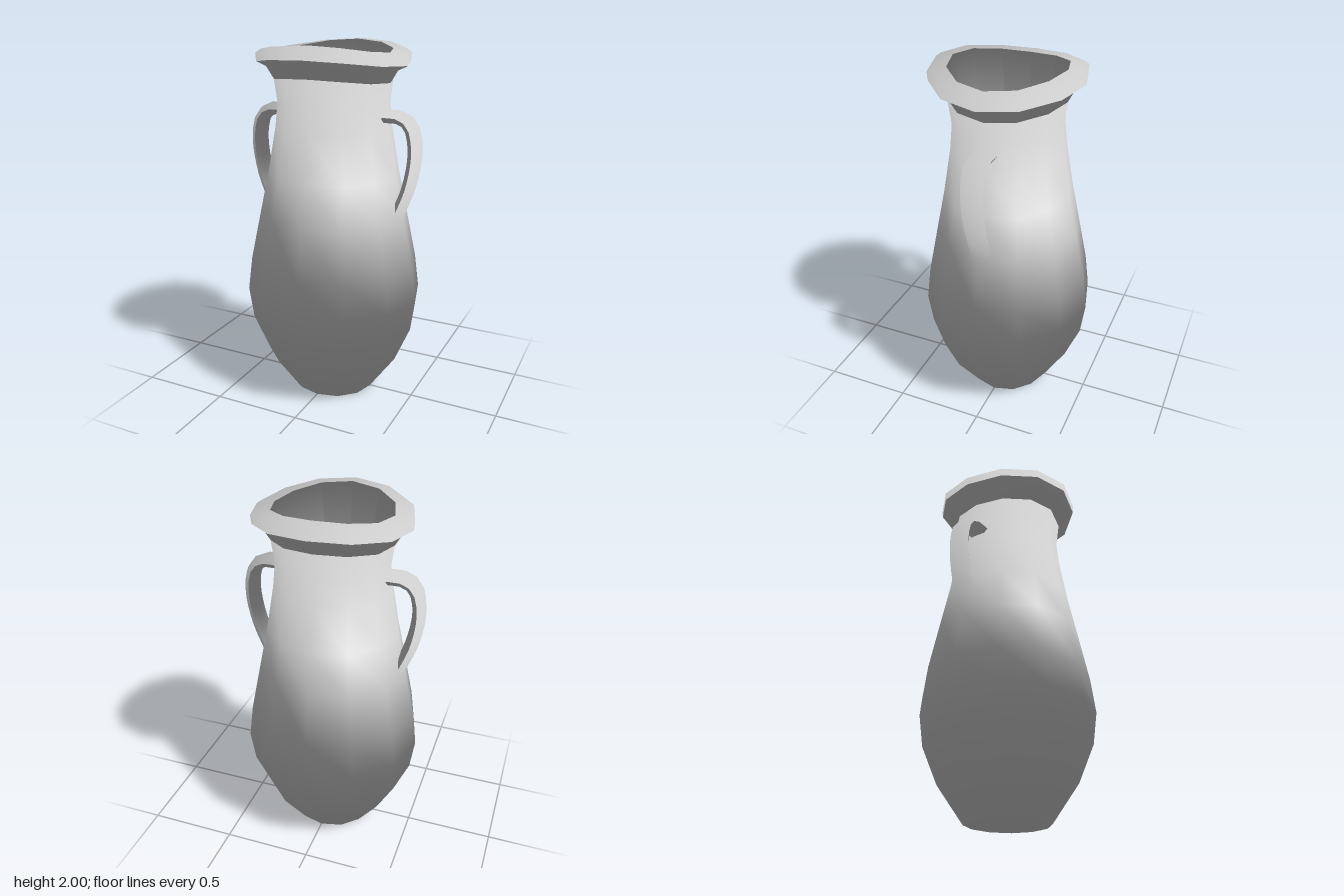
import * as THREE from 'three';

// Soft shading: every normal radiates from the middle of the vase
function radiateNormals(geometry) {
  const p = geometry.attributes.position;
  const n = geometry.attributes.normal;
  const v = new THREE.Vector3();
  for (let i = 0; i < p.count; i++) {
    v.set(p.getX(i), p.getY(i) - 1, p.getZ(i)).normalize();
    n.setXYZ(i, v.x, v.y, v.z);
  }
  return geometry;
}

export function createModel() {
  const model = new THREE.Group();
  const clay = new THREE.MeshStandardMaterial({ color: 0xcccccc });
  clay.name = 'pale grey clay';

  // Vase: outer wall, rolled lip, then a funnel down to a raised floor
  const profile = [
    [0, 0], [0.24, 0], [0.39, 0.21], [0.48, 0.42], [0.505, 0.6], [0.48, 0.79],
    [0.42, 1.07], [0.37, 1.3], [0.325, 1.55], [0.31, 1.68], [0.325, 1.8],
    [0.365, 1.865], [0.417, 1.89], [0.42, 1.935], [0.39, 1.955],
    [0.32, 1.955], [0.12, 0.93], [0, 0.9],
  ].map(([r, y]) => new THREE.Vector2(r, y));
  const vase = new THREE.LatheGeometry(profile, 12);

  // Slightly oval plan, with the rim rising to the front and back
  const p = vase.attributes.position;
  for (let i = 0; i < p.count; i++) {
    const x = p.getX(i), y = p.getY(i), z = p.getZ(i);
    const rim = THREE.MathUtils.smoothstep(y, 1.6, 1.9);
    const r2 = x * x + z * z || 1;
    p.setY(i, y + 0.045 * rim * z * z / r2);
    p.setZ(i, z * (0.95 + 0.025 * rim));
  }
  const body = new THREE.Mesh(radiateNormals(vase), clay);
  body.name = 'vaseBody';
  model.add(body);

  // Flat strap handles from neck to shoulder
  const path = new THREE.CatmullRomCurve3([
    [0.27, 1.622], [0.38, 1.625], [0.44, 1.59], [0.468, 1.51], [0.472, 1.41],
    [0.443, 1.25], [0.402, 1.14], [0.365, 1.05],
  ].map(([x, y]) => new THREE.Vector3(x, y, 0)));
  const strap = new THREE.TubeGeometry(path, 14, 0.037, 8);
  strap.scale(1, 1, 1.7);
  radiateNormals(strap);
  for (const [name, turn] of [['leftHandle', 0], ['rightHandle', Math.PI]]) {
    const handle = new THREE.Mesh(strap, clay);
    handle.name = name;
    handle.rotation.y = turn;
    model.add(handle);
  }
  return model;
}
